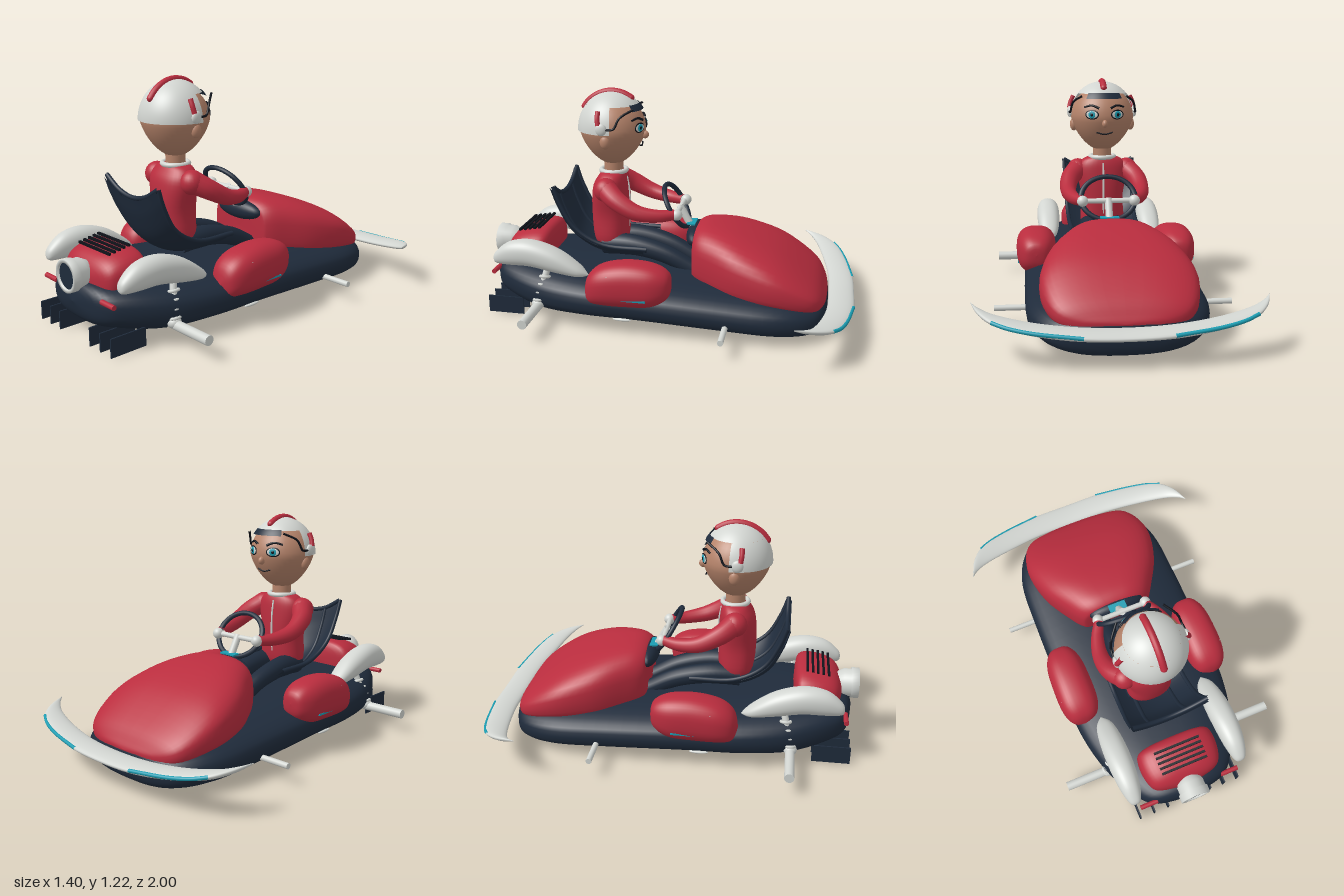
import * as THREE from 'three';

const mat = (name, color) => new THREE.MeshStandardMaterial({ name, color });
const V = (x, y, z) => new THREE.Vector3(x, y, z);

export function createModel() {
  const root = new THREE.Group();
  root.name = 'hoverKart';
  const red = mat('red', 0xb92d3e), navy = mat('navy', 0x1f2b3b), silver = mat('silver', 0xd2d5d1);
  const skin = mat('skin', 0xb5836a), teal = mat('teal', 0x1b9db2), black = mat('black', 0x10131a);
  const seatNavy = mat('seat navy', 0x1f2b3b);
  seatNavy.side = THREE.DoubleSide;

  const add = (name, geo, m, x = 0, y = 0, z = 0) => {
    const mesh = new THREE.Mesh(geo, m);
    mesh.name = name;
    mesh.position.set(x, y, z);
    root.add(mesh);
    return mesh;
  };

  // Smooth body from rows [s, xLow, xHigh, yLow, yHigh] with superellipse sections
  function loft(rows, power = 2, seg = 40, steps = 5) {
    const cols = [1, 2, 3, 4].map(k => new THREE.SplineCurve(rows.map(r => new THREE.Vector2(r[0], r[k]))));
    const count = (rows.length - 1) * steps, pos = [], idx = [];
    const curve = v => Math.sign(v) * Math.abs(v) ** (2 / power);
    for (let i = 0; i <= count; i++) {
      const p = cols.map(c => c.getPoint(i / count));
      for (let j = 0; j < seg; j++) {
        const a = j / seg * Math.PI * 2;
        pos.push((p[0].y + p[1].y) / 2 + (p[1].y - p[0].y) / 2 * curve(Math.cos(a)),
          (p[2].y + p[3].y) / 2 + (p[3].y - p[2].y) / 2 * curve(Math.sin(a)), p[0].x);
        if (i < count) {
          const b = i * seg + j, c = i * seg + (j + 1) % seg;
          idx.push(b, c, b + seg, c, c + seg, b + seg);
        }
      }
    }
    const g = new THREE.BufferGeometry();
    g.setAttribute('position', new THREE.Float32BufferAttribute(pos, 3));
    g.setIndex(idx);
    g.computeVertexNormals();
    return g;
  }
  // Rows [z, halfWidth, yLow, yHigh], symmetric about x = 0
  const symmetric = (rows, power) => loft(rows.map(([z, w, a, b]) => [z, -w, w, a, b]), power);

  // Tube along points, radius blending from r0 to r1
  function limb(points, r0, r1, steps = 20) {
    const path = new THREE.CatmullRomCurve3(points), g = new THREE.TubeGeometry(path, steps, r0, 14);
    const p = g.attributes.position, v = V(0, 0, 0);
    for (let i = 0; i < p.count; i++) {
      const t = Math.floor(i / 15) / steps, c = path.getPointAt(t);
      v.fromBufferAttribute(p, i).sub(c).multiplyScalar(1 + (r1 / r0 - 1) * t).add(c);
      p.setXYZ(i, v.x, v.y, v.z);
    }
    return g;
  }
  function rod(name, a, b, r, m) {
    const mesh = add(name, new THREE.CylinderGeometry(r, r, a.distanceTo(b), 20), m);
    mesh.position.copy(a).lerp(b, 0.5);
    mesh.quaternion.setFromUnitVectors(V(0, 1, 0), b.clone().sub(a).normalize());
    return mesh;
  }
  function ball(name, m, x, y, z, rx, ry = rx, rz = rx) {
    const mesh = add(name, new THREE.SphereGeometry(1, 24, 16), m, x, y, z);
    mesh.scale.set(rx, ry, rz);
    return mesh;
  }

  // Hull, hood and engine cover
  add('hull', symmetric([[-0.865, 0, 0.12, 0.12], [-0.85, 0.23, 0.03, 0.18], [-0.78, 0.36, 0.003, 0.21],
    [-0.6, 0.44, 0.002, 0.24], [-0.3, 0.455, 0.015, 0.26], [0.1, 0.455, 0.03, 0.28], [0.4, 0.445, 0.03, 0.29],
    [0.65, 0.39, 0.03, 0.3], [0.85, 0.29, 0.07, 0.3], [0.94, 0.19, 0.11, 0.28], [0.97, 0, 0.2, 0.2]], 2.6), navy);
  add('hood', symmetric([[-0.86, 0, 0.17, 0.17], [-0.845, 0.2, 0.14, 0.2], [-0.78, 0.33, 0.12, 0.28],
    [-0.6, 0.385, 0.12, 0.405], [-0.4, 0.35, 0.12, 0.485], [-0.24, 0.265, 0.14, 0.515],
    [-0.16, 0.21, 0.18, 0.5], [-0.14, 0.16, 0.22, 0.46], [-0.14, 0, 0.34, 0.34]], 2.8), red);
  add('engineCover', symmetric([[0.65, 0, 0.33, 0.33], [0.665, 0.18, 0.24, 0.42], [0.72, 0.22, 0.2, 0.445],
    [0.83, 0.21, 0.2, 0.425], [0.89, 0.16, 0.22, 0.38], [0.92, 0, 0.3, 0.3]], 2.8), red);
  for (let i = 0; i < 5; i++)
    add('ventSlat', new THREE.BoxGeometry(0.26, 0.012, 0.012), black, 0, 0.452 - i * 0.005, 0.72 + i * 0.028);

  // Exhaust
  const exhaust = add('exhaust', new THREE.LatheGeometry([[0.03, 0], [0.055, 0.02], [0.075, 0.06], [0.075, 0.1],
    [0.083, 0.1], [0.083, 0.14], [0.066, 0.14], [0.066, 0.12]].map(p => new THREE.Vector2(...p)), 32), silver, 0, 0.33, 0.86);
  exhaust.rotation.x = Math.PI / 2;
  add('exhaustCore', new THREE.CircleGeometry(0.068, 32), navy, 0, 0.33, 0.99);

  // Front wing with coloured leading edge
  const half = [[0.7, 0.71, 0.712, 0.245, 0.25], [0.66, 0.75, 0.82, 0.215, 0.24], [0.58, 0.79, 0.905, 0.185, 0.222],
    [0.42, 0.83, 0.96, 0.155, 0.197], [0.22, 0.86, 0.995, 0.135, 0.18]];
  const mirrored = half.map(([s, ...r]) => [-s, ...r]);
  add('frontWing', loft([...mirrored, [0, 0.865, 1, 0.128, 0.172], ...half.reverse()], 2, 24).rotateY(Math.PI / 2), silver);

  for (const s of [1, -1]) {
    add('wingStripe', limb([V(0.2 * s, 0.16, -0.993), V(0.42 * s, 0.178, -0.956), V(0.53 * s, 0.194, -0.924),
      V(0.6 * s, 0.21, -0.888)], 0.009, 0.009), teal);
    // Side pods and rear fenders
    add('sidePod', symmetric([[-0.075, 0, 0.29, 0.29], [-0.06, 0.06, 0.22, 0.35], [0.02, 0.1, 0.17, 0.39],
      [0.15, 0.11, 0.16, 0.4], [0.28, 0.105, 0.16, 0.375], [0.355, 0.07, 0.17, 0.32], [0.38, 0, 0.23, 0.23]], 2.5), red, 0.39 * s);
    add('podStripe', new THREE.BoxGeometry(0.008, 0.01, 0.2), teal, 0.488 * s, 0.225, 0.14);
    add('podMark', new THREE.BoxGeometry(0.008, 0.045, 0.008), silver, 0.482 * s, 0.32, 0.24);
    add('rearFender', symmetric([[0.385, 0, 0.27, 0.27], [0.44, 0.045, 0.26, 0.325], [0.56, 0.065, 0.275, 0.405],
      [0.7, 0.067, 0.3, 0.445], [0.82, 0.055, 0.3, 0.43], [0.9, 0.03, 0.305, 0.37], [0.915, 0, 0.33, 0.33]], 2.2), silver, 0.308 * s);

    // Axles, suspension, hull trim and lights
    rod('rearAxle', V(0.34 * s, 0.105, 0.65), V(0.62 * s, 0.105, 0.65), 0.025, silver);
    rod('frontAxle', V(0.4 * s, 0.1, -0.36), V(0.61 * s, 0.1, -0.36), 0.015, silver);
    rod('strut', V(0.32 * s, 0.3, 0.61), V(0.385 * s, 0.1, 0.655), 0.018, silver);
    for (let i = 0; i < 4; i++) {
      const ring = add('strutRing', new THREE.TorusGeometry(0.025, 0.008, 8, 16), silver,
        (0.335 + i * 0.013) * s, 0.255 - i * 0.04, 0.62 + i * 0.009);
      ring.rotation.set(Math.PI / 2, 0.3 * s, 0);
    }
    ball('strutFoot', silver, 0.375 * s, 0.115, 0.65, 0.035, 0.03, 0.035);
    ball('hullTrim', silver, 0.42 * s, 0.085, 0.18, 0.012, 0.008, 0.05);
    ball('hullTrim', silver, 0.425 * s, 0.1, -0.12, 0.012, 0.007, 0.06);
    rod('tailLight', V(0.19 * s, 0.24, 0.93), V(0.29 * s, 0.24, 0.93), 0.013, red);
    for (const x of [0.13, 0.215, 0.3])
      add('rearFin', new THREE.BoxGeometry(0.008, 0.095, 0.2), navy, x * s, 0.055, 0.865);
  }

  // Bucket seat: sheet following a side path, corners swept upward
  const seatPath = new THREE.CatmullRomCurve3([V(0, 0.31, 0.12), V(0, 0.325, 0.36), V(0, 0.41, 0.5), V(0, 0.54, 0.57), V(0, 0.64, 0.6)]);
  const seatPoint = (u, v) => {
    const p = seatPath.getPoint(v);
    return V(u * (0.19 + 0.02 * v), p.y + 0.08 * u * u, p.z - 0.02 * u * u * (1 - v));
  };
  for (const offset of [0, 0.018]) {
    const sheet = new THREE.PlaneGeometry(2, 1, 16, 24), p = sheet.attributes.position;
    for (let i = 0; i < p.count; i++) {
      const q = seatPoint(p.getX(i), p.getY(i) + 0.5);
      p.setXYZ(i, q.x, q.y - offset * 0.5, q.z + offset);
    }
    sheet.computeVertexNormals();
    add('seatShell', sheet, seatNavy);
  }
  for (const u of [-1, -0.5, 0.5, 1])
    add('seatRib', limb([0, 0.25, 0.5, 0.75, 1].map(v => seatPoint(u, v)), 0.013, 0.01), navy);
  add('seatTopEdge', limb([-1, -0.5, 0, 0.5, 1].map(u => seatPoint(u, 1)), 0.012, 0.012), navy);

  // Dashboard and steering wheel
  ball('dashboard', navy, 0, 0.44, -0.14, 0.16, 0.055, 0.05);
  add('dashScreen', new THREE.BoxGeometry(0.1, 0.008, 0.045), teal, 0, 0.5, -0.115);
  const wheel = add('steeringWheel', new THREE.TorusGeometry(0.125, 0.013, 12, 40), navy, 0, 0.59, -0.03);
  wheel.rotation.x = 0.53;
  wheel.scale.x = 1.18;
  rod('wheelSpoke', V(-0.14, 0.58, -0.05), V(0.14, 0.58, -0.05), 0.014, silver);
  rod('steeringColumn', V(0, 0.59, -0.045), V(0, 0.45, -0.125), 0.02, silver);

  // Driver body; torso rows run upward with depth measured forward
  add('jacket', loft([[0.36, -0.01, 0.01, -0.34, -0.33], [0.38, -0.12, 0.12, -0.42, -0.25], [0.54, -0.12, 0.12, -0.44, -0.235],
    [0.68, -0.145, 0.145, -0.43, -0.24], [0.745, -0.125, 0.125, -0.4, -0.25], [0.775, -0.07, 0.07, -0.37, -0.27],
    [0.78, 0, 0, -0.32, -0.32]], 2.3, 32).rotateX(-Math.PI / 2), red);
  add('jacketZip', limb([V(0, 0.45, 0.241), V(0, 0.55, 0.233), V(0, 0.67, 0.236), V(0, 0.74, 0.248)], 0.005, 0.005), silver);
  const collar = add('collar', new THREE.TorusGeometry(0.068, 0.013, 12, 32), silver, 0, 0.772, 0.32);
  collar.rotation.x = Math.PI / 2;
  add('neck', new THREE.CylinderGeometry(0.052, 0.052, 0.12, 24), skin, 0, 0.8, 0.32);
  for (const s of [1, -1]) {
    add('arm', limb([V(0.14 * s, 0.7, 0.33), V(0.19 * s, 0.655, 0.26), V(0.205 * s, 0.6, 0.15), V(0.18 * s, 0.58, 0.04),
      V(0.14 * s, 0.58, -0.04)], 0.06, 0.028), red);
    ball('shoulder', red, 0.14 * s, 0.695, 0.33, 0.064);
    ball('glove', silver, 0.14 * s, 0.58, -0.055, 0.03);
    add('leg', limb([V(0.07 * s, 0.37, 0.36), V(0.085 * s, 0.375, 0.2), V(0.085 * s, 0.335, 0.02), V(0.08 * s, 0.26, -0.13)],
      0.06, 0.045), navy);
  }

  // Head: sphere narrowed toward the chin
  const head = new THREE.SphereGeometry(0.178, 40, 30), hp = head.attributes.position;
  for (let i = 0; i < hp.count; i++) {
    const drop = Math.max(0, -hp.getY(i) / 0.178), k = 1 - 0.2 * drop;
    hp.setXYZ(i, hp.getX(i) * k, hp.getY(i) * (1 + 0.08 * drop), hp.getZ(i) * k);
  }
  head.computeVertexNormals();
  add('head', head, skin, 0, 1, 0.32);
  ball('nose', skin, 0, 0.975, 0.145, 0.016, 0.022, 0.022);
  add('mouth', limb([V(-0.045, 0.925, 0.168), V(0, 0.915, 0.162), V(0.045, 0.925, 0.168)], 0.004, 0.004), black);

  // Helmet: crown plus rear half, then crest and visor
  const helmetPart = (name, m, r, ...arc) => add(name, new THREE.SphereGeometry(r, 40, 16, ...arc), m, 0, 1, 0.32).scale.set(1, 1.08, 1);
  const openSilver = mat('helmet silver', 0xd2d5d1);
  openSilver.side = THREE.DoubleSide;
  helmetPart('helmetCrown', openSilver, 0.187, 0, Math.PI * 2, 0, 0.83);
  helmetPart('helmetBack', openSilver, 0.187, -0.15, Math.PI + 0.3, 0.83, Math.PI / 2 - 0.83);
  helmetPart('visor', seatNavy, 0.193, Math.PI * 1.5 - 0.65, 1.3, 0.82, 0.19);
  const crest = [];
  for (let i = 0; i <= 8; i++) {
    const a = 0.62 + i * 0.19;
    crest.push(V(0, 1 + 0.201 * Math.sin(a), 0.32 + 0.188 * Math.cos(a)));
  }
  add('helmetCrest', limb(crest, 0.018, 0.018), red);
  ball('crestEnd', red, 0, crest[0].y, crest[0].z, 0.018);
  ball('crestEnd', red, 0, crest[8].y, crest[8].z, 0.018);

  // Ears, eyes and helmet side fittings
  for (const s of [1, -1]) {
    ball('ear', skin, 0.163 * s, 0.96, 0.32, 0.022, 0.037, 0.028);
    ball('earDisc', silver, 0.185 * s, 1.03, 0.335, 0.015, 0.032, 0.03);
    add('sideStripe', limb([V(0.187 * s, 1.05, 0.35), V(0.178 * s, 1.085, 0.355), V(0.162 * s, 1.12, 0.355)], 0.013, 0.013), red);
    add('visorArm', limb([V(0.187 * s, 1.03, 0.31), V(0.184 * s, 1.035, 0.27), V(0.17 * s, 1.09, 0.24), V(0.12 * s, 1.128, 0.18)], 0.006, 0.006), black);
    const layers = [['eyeOutline', black, 0.04, 0.027, 0], ['eyeWhite', silver, 0.034, 0.021, 0.002],
      ['iris', teal, 0.021, 0.02, 0.004], ['pupil', black, 0.009, 0.01, 0.006]];
    for (const [name, m, rx, ry, out] of layers)
      ball(name, m, (0.07 + out * 0.4) * s, 1.025, 0.157 - out, rx, ry, 0.0045).rotation.y = -0.42 * s;
    add('eyebrow', limb([V(0.03 * s, 1.06, 0.15), V(0.07 * s, 1.075, 0.167), V(0.11 * s, 1.065, 0.193)], 0.007, 0.005), black);
  }
  return root;
}
